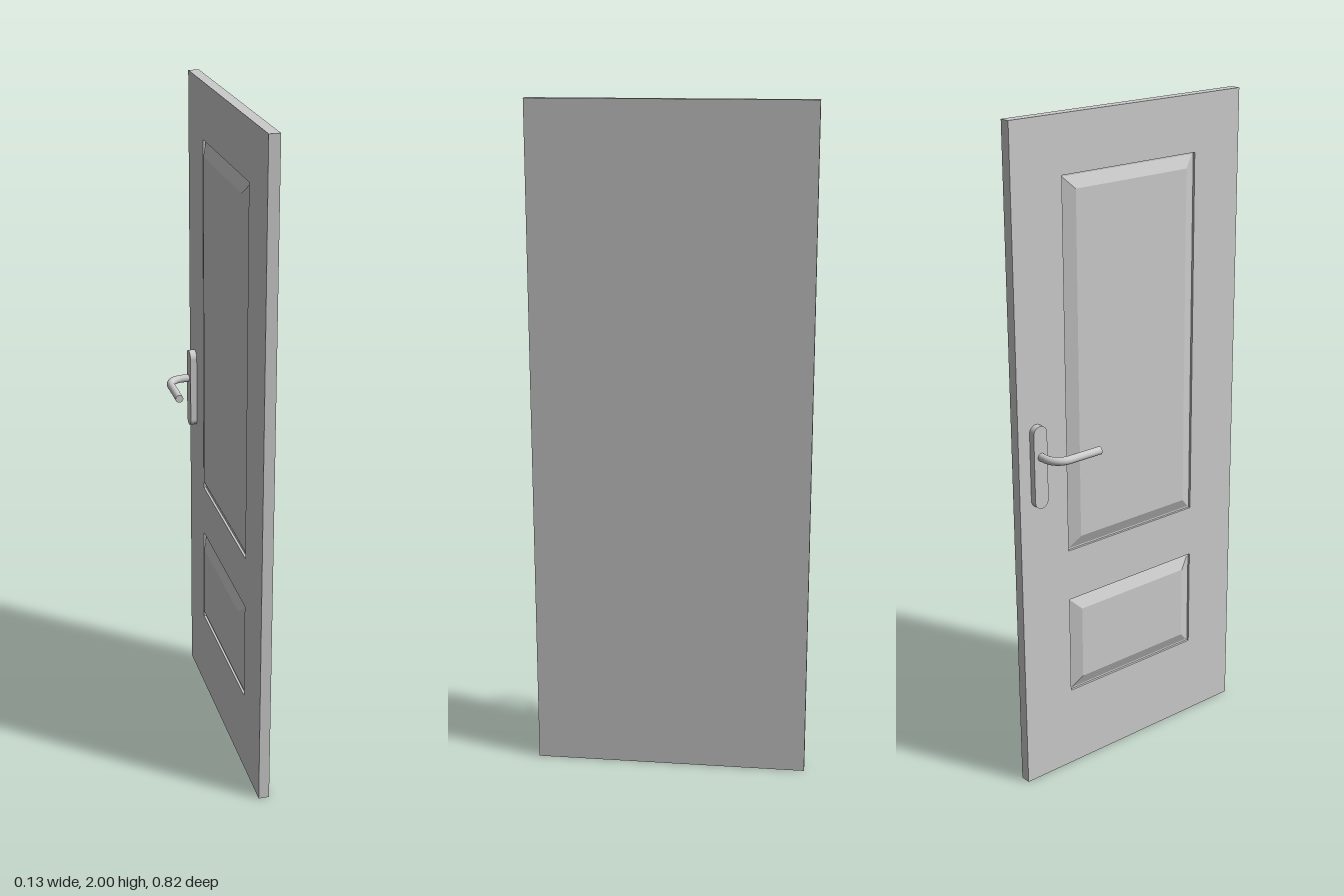
import * as THREE from 'three';

const material = new THREE.MeshStandardMaterial({ color: 0xcccccc });
const smoothless = new THREE.MeshStandardMaterial({ color: 0xcccccc, flatShading: true });

const DOOR = { half: 0.41, height: 2, back: 0.065, face: 0.033, recess: 0.04 };
// Panel openings: bottom and top heights
const PANELS = [['lowerPanel', 0.255, 0.565], ['upperPanel', 0.725, 1.835]];
const OPENING_HALF = 0.24;

function rect(Type, half, y0, y1) {
  return new Type([[-half, y0], [half, y0], [half, y1], [-half, y1]].map(([u, v]) => new THREE.Vector2(u, v)));
}

// Turns geometry drawn in (z, y) with depth toward the viewer so it faces -x, starting at x
function faceLeaf(geometry, x) {
  return geometry.rotateY(-Math.PI / 2).translate(x, 0, 0);
}

// Block whose front face is smaller than its base, giving four sloped borders
function raisedPanel(y0, y1) {
  const gap = 0.005, bevel = 0.035, depth = 0.016;
  const w = 2 * (OPENING_HALF - gap), h = y1 - y0 - 2 * gap;
  const geometry = new THREE.BoxGeometry(w, h, depth).translate(0, 0, depth / 2);
  const p = geometry.attributes.position;
  for (let i = 0; i < p.count; i++) {
    if (p.getZ(i) > depth / 2) {
      p.setX(i, p.getX(i) - Math.sign(p.getX(i)) * bevel);
      p.setY(i, p.getY(i) - Math.sign(p.getY(i)) * bevel);
    }
  }
  geometry.computeVertexNormals();
  return faceLeaf(geometry.translate(0, (y0 + y1) / 2, 0), DOOR.recess);
}

export function createModel() {
  const model = new THREE.Group();
  model.name = 'door';
  const add = (name, geometry, mat = material) => {
    const mesh = new THREE.Mesh(geometry, mat);
    mesh.name = name;
    model.add(mesh);
  };

  // Solid core of the leaf
  const core = DOOR.back - DOOR.recess;
  add('doorLeaf', new THREE.BoxGeometry(core, DOOR.height, 2 * DOOR.half)
    .translate(DOOR.recess + core / 2, DOOR.height / 2, 0));

  // Face layer with the panel openings cut out
  const face = rect(THREE.Shape, DOOR.half, 0, DOOR.height);
  for (const [, y0, y1] of PANELS) face.holes.push(rect(THREE.Path, OPENING_HALF, y0, y1));
  add('doorFace', faceLeaf(new THREE.ExtrudeGeometry(face,
    { depth: DOOR.recess - DOOR.face, bevelEnabled: false }), DOOR.recess));

  // Raised, bevelled panels
  for (const [name, y0, y1] of PANELS) add(name, raisedPanel(y0, y1), smoothless);

  // Handle plate with round ends
  const z = -0.347, r = 0.023, bottom = 0.9, top = 1.15;
  const plate = new THREE.Shape();
  plate.absarc(z, top - r, r, 0, Math.PI);
  plate.absarc(z, bottom + r, r, Math.PI, 2 * Math.PI);
  plate.closePath();
  add('handlePlate', faceLeaf(new THREE.ExtrudeGeometry(plate,
    { depth: 0.02, bevelEnabled: false, curveSegments: 16 }), DOOR.face));

  // Lever: straight neck, rounded bend, straight grip
  const y = 1.058, gripX = -0.055, bend = 0.046, end = -0.19, radius = 0.012;
  const path = new THREE.CurvePath();
  const arc = Array.from({ length: 13 }, (_, i) => {
    const a = (i / 12) * Math.PI / 2;
    return new THREE.Vector3(gripX + bend - bend * Math.sin(a), y, z + bend - bend * Math.cos(a));
  });
  path.add(new THREE.LineCurve3(new THREE.Vector3(0.011, y, z), arc[0]));
  path.add(new THREE.CatmullRomCurve3(arc));
  path.add(new THREE.LineCurve3(arc[12], new THREE.Vector3(gripX, y, end)));
  add('handleLever', new THREE.TubeGeometry(path, 60, radius, 20));
  add('leverEnd', new THREE.CircleGeometry(radius, 20).translate(gripX, y, end));
  add('leverBase', new THREE.CircleGeometry(radius, 20).rotateY(Math.PI / 2).translate(0.011, y, z));

  // Slim spindle between plate and lever
  add('spindle', new THREE.CylinderGeometry(0.009, 0.009, 0.01, 20)
    .rotateZ(Math.PI / 2).translate(0.013, y, z));

  return model;
}
